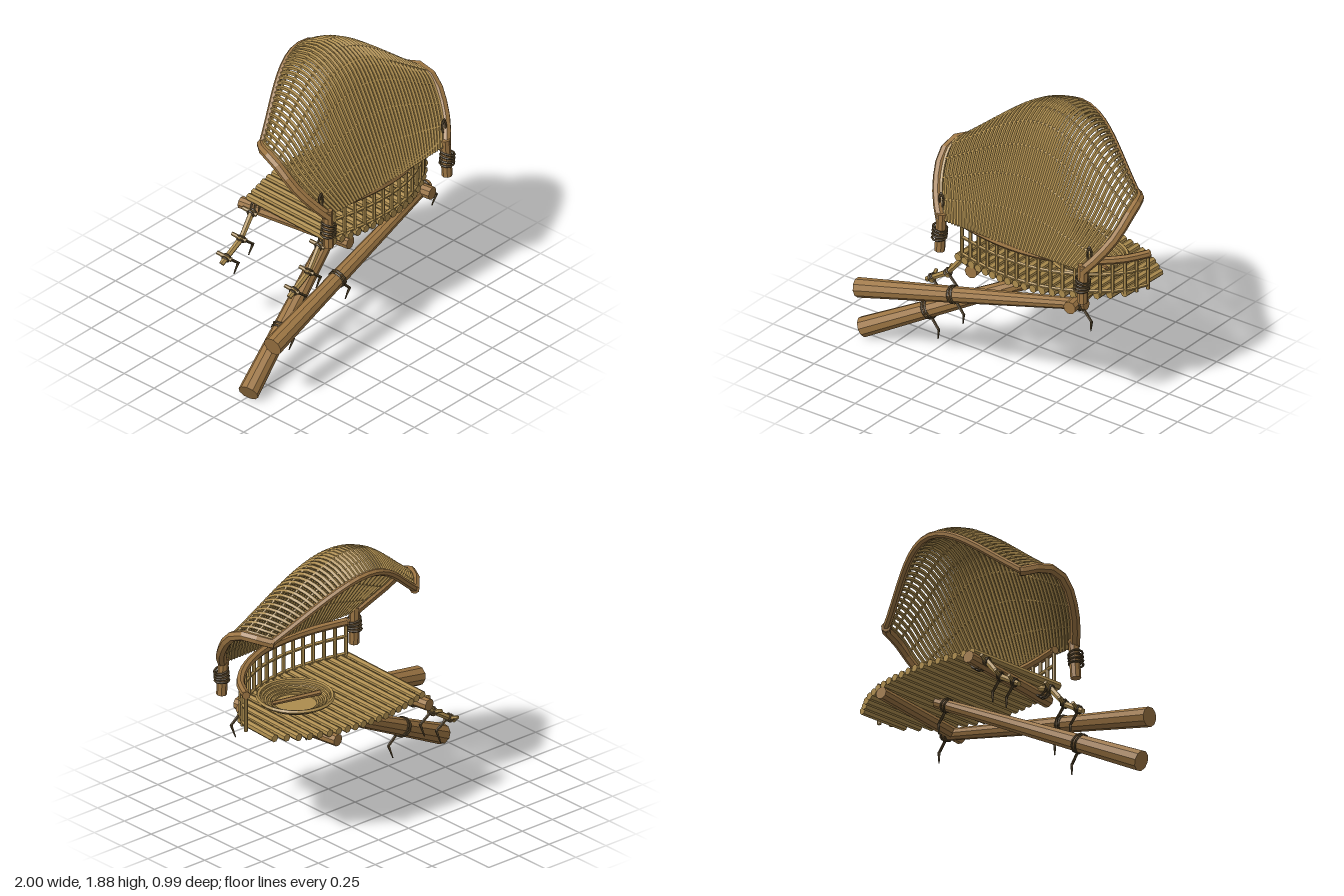
import * as THREE from 'three';

const mat = (color) => new THREE.MeshStandardMaterial({ color, flatShading: true, side: THREE.DoubleSide });
const V = (x, y, z) => new THREE.Vector3(x, y, z);
const UP = V(0, 1, 0);

export function createModel() {
  const root = new THREE.Group();
  const wood = mat(0x9c7543), cane = mat(0xac8c4e), rope = mat(0x54442a);

  const group = (name, parent = root) => {
    const g = new THREE.Group();
    g.name = name;
    parent.add(g);
    return g;
  };
  const add = (parent, name, geo, material) => {
    const m = new THREE.Mesh(geo, material);
    m.name = name;
    parent.add(m);
    return m;
  };
  // Straight, optionally tapered log between two points
  const rod = (parent, name, a, b, ra, rb = ra, material = wood, sides = 8) => {
    const m = add(parent, name, new THREE.CylinderGeometry(rb, ra, a.distanceTo(b), sides), material);
    m.position.copy(a).lerp(b, 0.5);
    m.quaternion.setFromUnitVectors(UP, b.clone().sub(a).normalize());
    return m;
  };
  // Bent cane through points
  const bend = (parent, name, pts, r, material = cane, steps = 20, sides = 5) =>
    add(parent, name, new THREE.TubeGeometry(new THREE.CatmullRomCurve3(pts), steps, r, sides), material);
  // Rope turns around a log, with an optional crooked loose end
  const lashing = (p, axis, r, turns, tail) => {
    const g = group('lashing');
    const dir = axis.clone().normalize();
    for (let i = 0; i < turns; i++) {
      const ring = add(g, 'ropeTurn', new THREE.TorusGeometry(r, 0.0075, 5, 10), rope);
      ring.position.copy(p).addScaledVector(dir, (i - (turns - 1) / 2) * 0.024);
      ring.quaternion.setFromUnitVectors(V(0, 0, 1), dir.clone().add(V(0.12 * (i - 1), 0.1 * (i % 2), 0.06)).normalize());
    }
    if (!tail) return;
    const at = (x, y, z) => p.clone().add(V(x, y, z));
    rod(g, 'ropeEnd', at(0.02, -r * 0.6, 0.01), at(0.09, -r - 0.05, 0.02), 0.01, 0.009, rope, 5);
    rod(g, 'ropeEnd', at(0.09, -r - 0.045, 0.02), at(0.07, -r - 0.13, 0.0), 0.01, 0.004, rope, 5);
  };
  // Piecewise linear lookup: table of [key, value]
  const look = (table, k) => {
    let i = 1;
    while (i < table.length - 1 && k > table[i][0]) i++;
    const [a, b] = [table[i - 1], table[i]];
    return THREE.MathUtils.mapLinear(k, a[0], b[0], a[1], b[1]);
  };

  // Deck: log planks running front to back with curved ends
  const rail = new THREE.CatmullRomCurve3([
    V(-0.19, 0, 0.3), V(0.03, 0, 0.345), V(0.25, 0, 0.36), V(0.48, 0, 0.33),
    V(0.72, 0, 0.22), V(0.89, 0, 0.07), V(0.97, 0, -0.07)]);
  const frontEdge = rail.getPoints(30).map((p) => [p.x, p.z]);
  const backEdge = [[-0.2, -0.42], [0, -0.47], [0.2, -0.5], [0.45, -0.485], [0.6, -0.45], [0.75, -0.39], [0.9, -0.28]];
  const deck = group('deck');
  for (let i = 0; i < 19; i++) {
    const x = -0.195 + i * 0.061;
    rod(deck, 'plank', V(x - 0.015, 0.834, look(frontEdge, x) + 0.02),
      V(x + 0.01, 0.836, look(backEdge, x)), 0.027, 0.025, cane, 7);
  }

  // Bearers beneath the deck
  for (const x of [-0.09, 0.67])
    rod(root, 'bearer', V(x, 0.78, 0.345), V(x - 0.11, 0.78, -0.47), 0.043, 0.04, wood, 9);

  // Two long slanting support poles
  const poles = [
    [V(-0.967, 0.064, 0.283), V(0.46, 0.81, -0.08), 0.067],
    [V(-0.9, 0.435, 0.425), V(0.73, 0.785, 0.25), 0.064]];
  for (const [a, b, r] of poles) rod(root, 'supportPole', a, b, r, 0.037, wood, 10);
  for (const [i, t] of [[0, 0.3], [0, 0.95], [1, 0.42], [1, 0.98]]) {
    const [a, b, r] = poles[i];
    lashing(a.clone().lerp(b, t), b.clone().sub(a), THREE.MathUtils.lerp(r, 0.037, t) + 0.003, 2, true);
  }

  // Railing
  const railing = group('railing');
  const railAt = (y) => rail.getPoints(16).map((p) => V(p.x, y, p.z));
  bend(railing, 'handrail', railAt(1.08), 0.027, wood, 18, 7);
  for (const t of [0, 1]) {
    const p = rail.getPoint(t), d = rail.getTangent(t).multiplyScalar(t ? 0.012 : -0.012);
    rod(railing, 'handrailEnd', V(p.x, 1.08, p.z), V(p.x, 1.08, p.z).add(d), 0.027, 0.027, wood, 7);
  }
  bend(railing, 'middleRail', railAt(0.98), 0.012, cane, 24);
  bend(railing, 'bottomRail', railAt(0.86), 0.012, cane, 24);
  for (let i = 0; i <= 17; i++) {
    const p = rail.getPointAt(i / 17);
    rod(railing, 'baluster', V(p.x, 0.83, p.z), V(p.x, 1.08, p.z), 0.013, 0.013, cane, 6);
  }

  // Canopy: surface blended from the middle profile to the side profile
  const CX = 0.235;
  const middle = new THREE.CatmullRomCurve3([
    V(0, 1.09, 0.37), V(0, 1.27, 0.295), V(0, 1.63, 0.125), V(0, 1.78, 0.03),
    V(0, 1.85, -0.07), V(0, 1.87, -0.19), V(0, 1.83, -0.3), V(0, 1.78, -0.37)]);
  const side = new THREE.CatmullRomCurve3([
    V(0.545, 1.09, 0.36), V(0.63, 1.2, 0.28), V(0.69, 1.32, 0.18), V(0.708, 1.42, 0.09),
    V(0.698, 1.45, 0.01), V(0.665, 1.445, -0.07), V(0.595, 1.42, -0.15)]);
  const canopyPoint = (u, v) => {
    const s = side.getPointAt(v);
    const w = 0.6 * u * u + 0.2 * (1 - Math.cos(Math.PI * u));
    const p = middle.getPointAt(v).lerp(s, w);
    return V(CX + u * s.x, p.y, p.z);
  };
  const span = (n, f) => Array.from({ length: n + 1 }, (_, i) => f(i / n));
  const canopy = group('canopy');
  const RIBS = 46;
  for (let i = 0; i <= RIBS; i++) {
    const u = (i / RIBS) * 2 - 1;
    bend(canopy, 'canopyRib', span(14, (v) => canopyPoint(u, v)), 0.0152 - 0.003 * u * u, cane, 18);
  }
  for (const v of [0.18, 0.36, 0.52, 0.65, 0.74, 0.83, 0.92])
    bend(canopy, 'canopyBand', span(24, (t) => canopyPoint(t * 2 - 1, v)), 0.009, cane, 40, 5);
  bend(canopy, 'canopyArch', span(20, (t) => canopyPoint(t * 2 - 1, 1)), 0.024, wood, 22, 7);

  // Side rims, posts and their lashings
  for (const s of [-1, 1]) {
    bend(canopy, 'canopyRim', span(7, (v) => canopyPoint(s, v)), 0.033, wood, 8, 7);
    const end = canopyPoint(s, 1);
    rod(canopy, 'rimEnd', end, end.clone().add(V(-s * 0.012, -0.004, -0.016)), 0.033, 0.031, wood, 7);
    const px = CX + s * 0.55;
    rod(root, 'canopyPost', V(px, 0.87, 0.365), V(px - s * 0.005, 1.13, 0.35), 0.034, 0.034, wood, 8);
    lashing(V(px, 1.0, 0.365), V(0.1, 1, 0), 0.046, 4, false);
    const loop = add(canopy, 'rimLoop', new THREE.TorusGeometry(0.022, 0.008, 5, 10), rope);
    loop.position.copy(canopyPoint(s * 0.95, 0.19)).add(V(-s * 0.02, 0, 0.03));
    loop.scale.set(0.8, 2.2, 1);
  }

  // Knotted branches hanging from the deck's end
  for (const z of [0.22, -0.345]) {
    const b = group('hangingBranch');
    const pts = [V(-0.13, 0.81, z), V(-0.24, 0.775, z), V(-0.35, 0.64, z + 0.01), V(-0.52, 0.53, z)];
    for (let i = 0; i < 3; i++) {
      rod(b, 'branchPiece', pts[i], pts[i + 1], 0.021, 0.018, cane, 6);
      const k = pts[i + 1].clone().lerp(pts[i], i === 2 ? 0.25 : 0);
      rod(b, 'branchStub', k.clone().add(V(0.015, -0.01, 0.03)), k.clone().add(V(-0.015, 0.02, -0.065)), 0.015, 0.012, cane, 6);
      lashing(k, pts[i + 1].clone().sub(pts[i]), 0.022, 2, i > 0);
    }
    lashing(V(-0.17, 0.79, z), V(0.15, 0, 1), 0.048, 3, false);
  }

  // Shallow woven tray resting on the deck
  const tray = group('tray');
  tray.position.set(0.54, 0.868, -0.05);
  const profile = [[0, 0.005], [0.14, 0.005], [0.19, 0.025], [0.235, 0.06]].map((p) => new THREE.Vector2(...p));
  add(tray, 'trayBowl', new THREE.LatheGeometry(profile, 24), cane);
  for (const [r, y, t] of [[0.14, 0.012, 0.009], [0.165, 0.02, 0.009], [0.19, 0.03, 0.01], [0.212, 0.045, 0.01], [0.234, 0.06, 0.014]]) {
    const ring = add(tray, 'trayCoil', new THREE.TorusGeometry(r, t, 5, 28), cane);
    ring.rotation.x = Math.PI / 2;
    ring.position.y = y;
  }
  rod(tray, 'trayStick', V(-0.17, 0.045, -0.04), V(0.16, 0.045, 0.04), 0.018, 0.014, wood, 6);

  return root;
}
